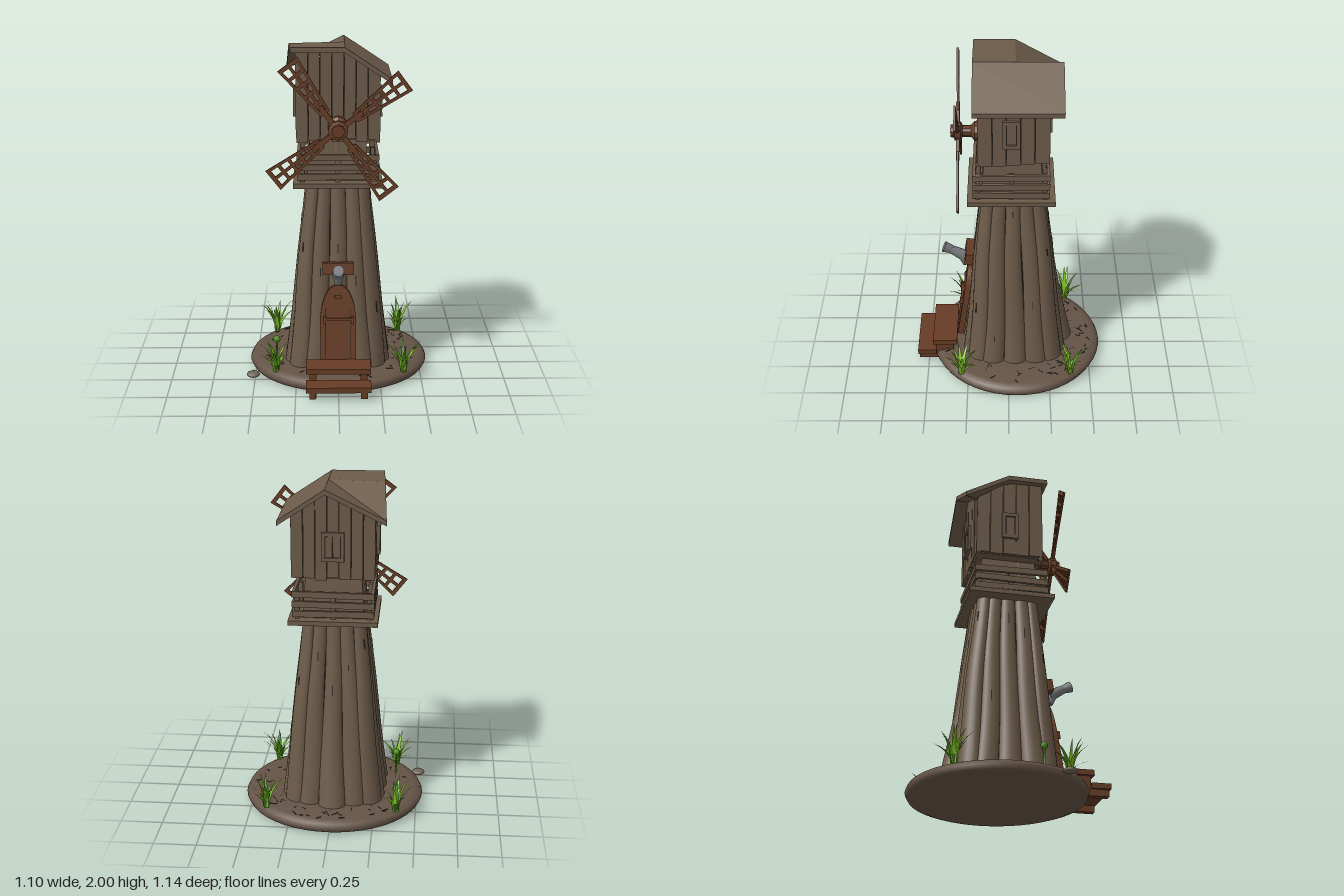
import * as THREE from 'three';

const mat = (name, color, side = THREE.FrontSide) => {
  const m = new THREE.MeshStandardMaterial({ color, side });
  m.name = name;
  return m;
};

export function createModel() {
  const root = new THREE.Group();
  root.name = 'windmill';
  const wood = mat('weathered wood', 0x6c5b49);
  const earth = mat('earth', 0x655447);
  const redWood = mat('red brown wood', 0x663c25);
  const dark = mat('dark gaps', 0x2c231b);
  const metal = mat('grey metal', 0x75787b);
  const stoneMat = mat('stone', 0x706559);
  const leaf = mat('leaf green', 0x82c427, THREE.DoubleSide);
  const darkLeaf = mat('dark leaf green', 0x4c8a1c, THREE.DoubleSide);

  let seed = 7;
  const rnd = (a = 0, b = 1) => {
    seed = (seed * 16807) % 2147483647;
    return a + (b - a) * (seed / 2147483647);
  };
  const group = (name, parent = root) => {
    const g = new THREE.Group();
    g.name = name;
    parent.add(g);
    return g;
  };
  const add = (parent, name, geo, m, x = 0, y = 0, z = 0) => {
    const mesh = new THREE.Mesh(geo, m);
    mesh.name = name;
    mesh.position.set(x, y, z);
    parent.add(mesh);
    return mesh;
  };
  const box = (parent, name, m, w, h, d, x, y, z) =>
    add(parent, name, new THREE.BoxGeometry(w, h, d), m, x, y, z);
  // Moves every vertex of a geometry by a rule
  const warp = (geo, rule) => {
    const p = geo.attributes.position, v = new THREE.Vector3();
    for (let i = 0; i < p.count; i++) {
      rule(v.fromBufferAttribute(p, i));
      p.setXYZ(i, v.x, v.y, v.z);
    }
    geo.computeVertexNormals();
    return geo;
  };

  // Round earth base with a soft rim
  const rim = [[0, 0.004], [0.5, 0.004], [0.53, 0.015], [0.543, 0.04], [0.53, 0.066], [0.49, 0.078], [0.35, 0.082], [0, 0.085]];
  const base = add(root, 'groundDisc', new THREE.LatheGeometry(rim.map(p => new THREE.Vector2(...p)), 48), earth, 0.005, 0, -0.048);
  base.scale.z = 0.965;
  const marks = group('groundCracks');
  for (let i = 0; i < 60; i++) {
    const a = rnd(0, 6.28), r = rnd(0.37, 0.49);
    const m = box(marks, 'groundCrack', dark, rnd(0.02, 0.045), 0.006, 0.004, r * Math.cos(a), 0.079, -0.048 + 0.95 * r * Math.sin(a));
    m.rotation.y = rnd(0, 3.14);
  }
  add(root, 'looseStone', new THREE.SphereGeometry(0.04, 12, 8), stoneMat, -0.51, 0.035, 0.24).scale.y = 0.45;

  // Tower of tapered logs: square plan at the top, rounder at the foot
  const widths = [[0.05, 0.322], [0.2, 0.3], [0.4, 0.275], [0.6, 0.255], [0.8, 0.234], [1, 0.209], [1.2, 0.186], [1.48, 0.16]];
  const radius = y => {
    let i = 1;
    while (i < widths.length - 1 && y > widths[i][0]) i++;
    const [a, b] = [widths[i - 1], widths[i]];
    return a[1] + (b[1] - a[1]) * (y - a[0]) / (b[0] - a[0]);
  };
  const centreZ = y => -0.038 + 0.012 * y;
  const square = (t, y) => {
    const p = 4 + 5 * y;
    return Math.pow(Math.abs(Math.cos(t)) ** p + Math.abs(Math.sin(t)) ** p, -1 / p);
  };
  const tower = group('tower');
  add(tower, 'towerCore', warp(new THREE.CylinderGeometry(1, 1, 1.42, 64, 10), v => {
    const y = v.y + 0.76, t = Math.atan2(v.z, v.x), r = Math.hypot(v.x, v.z) * 0.89 * square(t, y) * radius(y);
    v.set(r * Math.cos(t), y, r * Math.sin(t) + centreZ(y));
  }), dark);
  const addLog = (t, facing) => {
    const c = Math.cos(facing), s = Math.sin(facing), phase = rnd(0, 6), bulge = rnd(0.985, 1.015);
    // The middle back log flares into a root
    const flare = Math.sin(t) < -0.99 ? 0.045 : 0;
    const R = y => radius(y) * bulge + flare * Math.max(0, 1 - y / 0.6);
    const axis = y => {
      const r = 0.84 * R(y) * square(t, y);
      return [r * Math.cos(t), r * Math.sin(t) + centreZ(y)];
    };
    add(tower, 'towerLog', warp(new THREE.CylinderGeometry(1, 1, 1.42, 20, 12), v => {
      const y = v.y + 0.76, [ax, az] = axis(y);
      const u = v.x * R(y) * 0.16, w = v.z * R(y) * 0.225 + 0.004 * Math.sin(y * 6 + phase);
      v.set(ax + u * c - w * s, y, az + u * s + w * c);
    }), wood);
    // Short crack in the bark
    const y = rnd(0.25, 1.1), [ax, az] = axis(y), d = 0.16 * R(y) - 0.001;
    const crack = box(tower, 'barkCrack', dark, 0.005, rnd(0.03, 0.07), 0.005, ax + d * c, y, az + d * s);
    crack.rotation.set(-0.11 * s, 0, 0.11 * c);
  };
  for (let side = 0; side < 4; side++) {
    const a = side * Math.PI / 2;
    for (const k of [-0.5, 0, 0.5]) addLog(a + Math.atan(k), a);
    addLog(a + Math.PI / 4, a + Math.PI / 4);
  }

  // Squared neck between tower and house
  add(tower, 'neck', warp(new THREE.BoxGeometry(1, 0.26, 1), v => {
    const w = v.y > 0 ? 0.325 : 0.365;
    v.set(v.x * w, v.y, v.z * w);
  }), wood, 0, 1.335, -0.022);

  // Balcony with slatted railing
  const balcony = group('balcony');
  box(balcony, 'balconyFloor', wood, 0.52, 0.028, 0.51, 0, 1.204, -0.015);
  for (const y of [1.25, 1.305, 1.364]) {
    for (const sgn of [-1, 1]) {
      box(balcony, 'rail', wood, 0.475, 0.036, 0.018, 0, y, -0.015 + sgn * 0.213).rotation.z = rnd(-0.02, 0.02);
      box(balcony, 'rail', wood, 0.018, 0.036, 0.444, sgn * 0.228, y, -0.015).rotation.x = rnd(-0.02, 0.02);
    }
  }
  for (const px of [-1, 0, 1]) for (const pz of [-1, 0, 1])
    if (px || pz) box(balcony, 'railPost', wood, 0.028, 0.16, 0.028, px * 0.208, 1.295, -0.015 + pz * 0.193);

  // Mill house: planked walls whose tops follow the roof
  const house = group('millHouse');
  const ZC = -0.0275;
  box(house, 'houseCore', dark, 0.44, 0.35, 0.365, 0, 1.655, ZC);
  box(house, 'loftCore', dark, 0.34, 0.11, 0.18, -0.05, 1.855, 0.062);
  box(house, 'houseFloor', wood, 0.45, 0.02, 0.375, 0, 1.472, ZC);
  const wall = (name, length, count, top, x, z, rotY) => {
    const g = group(name, house), w = length / count;
    g.position.set(x, 0, z);
    g.rotation.y = rotY;
    for (let i = 0; i < count; i++) {
      const cx = -length / 2 + (i + 0.5) * w, y0 = 1.46 + rnd(-0.015, 0.012), d = rnd(-0.003, 0.003);
      add(g, 'plank', warp(new THREE.BoxGeometry(w - 0.003, 1, 0.025), v => {
        v.x += cx;
        v.z += d;
        v.y = v.y > 0 ? top(v.x) : y0;
      }), wood);
    }
    return g;
  };
  const rightSlope = x => 1.98 - Math.max(0, x - 0.04) * 0.7;
  wall('frontWall', 0.48, 7, rightSlope, 0, 0.165, 0);
  const backWall = wall('backWall', 0.48, 7, lx => rightSlope(-lx) - Math.max(0, 0.04 + lx) * 0.57, 0, -0.22, Math.PI);
  const leftWall = wall('leftWall', 0.4, 5, () => 1.83, 0.23, ZC, Math.PI / 2);
  const rightWall = wall('rightWall', 0.4, 5, lx => 1.965 - Math.max(0, -0.0125 - lx) * 0.67, -0.23, ZC, -Math.PI / 2);

  // Framed windows with one or two panes
  const addWindow = (parent, x, panes) => {
    const g = group('window', parent), w = panes === 2 ? 0.13 : 0.1, h = 0.17;
    g.position.set(x, 1.655, 0.02);
    box(g, 'windowGap', dark, w - 0.01, h - 0.01, 0.008, 0, 0, -0.004);
    for (const s of [-1, 1]) {
      box(g, 'frameSide', wood, 0.022, h, 0.02, s * (w / 2 - 0.011), 0, 0);
      box(g, 'frameBar', wood, w, 0.022, 0.022, 0, s * (h / 2 - 0.011), 0);
    }
    const pw = (w - 0.044) / panes;
    for (let i = 0; i < panes; i++) box(g, 'shutter', wood, pw - 0.006, h - 0.05, 0.012, (i - (panes - 1) / 2) * pw, 0, -0.001);
  };
  addWindow(leftWall, -0.012, 1);
  addWindow(rightWall, 0, 1);
  addWindow(backWall, 0, 2);

  // Roof slabs: main ridge with a crooked cross gable
  const roof = group('roof');
  const slab = (...pts) => {
    const low = pts.map(([x, y, z]) => [x, y - 0.03, z]), tris = [], n = pts.length;
    for (let i = 1; i < n - 1; i++) tris.push(pts[0], pts[i], pts[i + 1], low[0], low[i + 1], low[i]);
    for (let i = 0; i < n; i++) {
      const j = (i + 1) % n;
      tris.push(pts[i], low[i], low[j], pts[i], low[j], pts[j]);
    }
    const geo = new THREE.BufferGeometry();
    geo.setAttribute('position', new THREE.Float32BufferAttribute(tris.flat(), 3));
    geo.computeVertexNormals();
    add(roof, 'roofSlab', geo, wood);
  };
  const A = [0.04, 2, 0.203], B = [0.04, 2, -0.31], J = [0.04, 1.998, -0.04];
  const C = [-0.305, 1.83, -0.31], E = [-0.285, 1.99, -0.04], F = [-0.27, 2, 0.203];
  slab(A, [0.31, 1.82, 0.203], [0.31, 1.82, -0.31], B);
  slab(B, C, J);
  slab(C, E, J);
  slab(E, F, A, J);

  // Sails: lattice frames around a turned hub
  const sails = group('sails');
  sails.position.set(0, 1.545, 0);
  const hub = [[0, 0.15], [0.062, 0.17], [0.058, 0.195], [0.036, 0.215], [0.034, 0.265], [0.055, 0.275], [0.057, 0.31], [0.038, 0.315], [0.036, 0.335], [0, 0.336]];
  add(sails, 'hub', new THREE.LatheGeometry(hub.map(p => new THREE.Vector2(...p)), 10).rotateX(Math.PI / 2).toNonIndexed(), redWood).geometry.computeVertexNormals();
  const half = r => 0.03 + (r - 0.12) * 0.112;
  const path = (Type, pts) => new Type(pts.map(p => new THREE.Vector2(...p)));
  const sailShape = path(THREE.Shape, [[0.12, -half(0.12)], [0.472, -half(0.472)], [0.472, half(0.472)], [0.12, half(0.12)]]);
  for (let i = 0; i < 5; i++) {
    const r0 = 0.14 + i * 0.0655, r1 = r0 + 0.046;
    for (const s of [-1, 1]) {
      const hole = [[r0, s * 0.009], [r1, s * 0.009], [r1, s * (half(r1) - 0.017)], [r0, s * (half(r0) - 0.016)]];
      sailShape.holes.push(path(THREE.Path, hole));
    }
  }
  const sailGeo = new THREE.ExtrudeGeometry(sailShape, { depth: 0.012, bevelEnabled: false });
  for (const deg of [37, 127, 218, 308]) {
    const g = group('sail', sails);
    g.rotation.z = deg * Math.PI / 180;
    add(g, 'sailLattice', sailGeo, redWood, 0, 0, 0.286);
    box(g, 'sailArm', redWood, 0.16, 0.03, 0.02, 0.09, 0, 0.292);
  }

  // Arched door leaning with the wall
  const door = group('door');
  door.position.set(0, 0.15, 0.285);
  door.rotation.x = -0.15;
  const arch = new THREE.Shape();
  arch.moveTo(-0.105, 0);
  arch.lineTo(0.105, 0);
  arch.lineTo(0.107, 0.24);
  arch.bezierCurveTo(0.1, 0.37, 0.06, 0.455, 0, 0.455);
  arch.bezierCurveTo(-0.06, 0.455, -0.1, 0.37, -0.107, 0.24);
  add(door, 'doorLeaf', new THREE.ExtrudeGeometry(arch, { depth: 0.035, bevelEnabled: false, curveSegments: 10 }), redWood);
  for (const x of [-0.075, 0.075]) box(door, 'doorGroove', dark, 0.004, 0.3, 0.004, x, 0.16, 0.035);
  box(door, 'doorBrace', redWood, 0.17, 0.016, 0.02, 0, 0.25, 0.04);
  for (const x of [-0.08, 0.085]) box(door, 'braceEnd', redWood, 0.014, 0.045, 0.026, x, 0.245, 0.042);
  box(door, 'doorPlate', redWood, 0.04, 0.016, 0.016, 0, 0.385, 0.038);
  box(root, 'lintel', redWood, 0.185, 0.07, 0.05, 0, 0.705, 0.24).rotation.x = -0.15;

  // Lamp pipe over the door
  const lamp = group('doorLamp');
  const pipe = (name, a, b, r0, r1) => {
    const p = new THREE.Vector3(0, ...a), d = new THREE.Vector3(0, ...b).sub(p);
    const m = add(lamp, name, new THREE.CylinderGeometry(r1, r0, d.length(), 10), metal);
    m.position.copy(p).addScaledVector(d, 0.5);
    m.quaternion.setFromUnitVectors(new THREE.Vector3(0, 1, 0), d.normalize());
  };
  pipe('lampFoot', [0.62, 0.262], [0.69, 0.283], 0.022, 0.034);
  pipe('lampNeck', [0.67, 0.26], [0.722, 0.35], 0.037, 0.026);
  pipe('lampHead', [0.718, 0.34], [0.742, 0.395], 0.024, 0.034);

  // Two plank steps
  const steps = group('steps');
  box(steps, 'upperTread', redWood, 0.38, 0.032, 0.15, 0, 0.147, 0.397);
  box(steps, 'lowerTread', redWood, 0.38, 0.032, 0.115, 0, 0.072, 0.51);
  for (const x of [-0.15, 0.15]) {
    box(steps, 'upperSupport', redWood, 0.04, 0.11, 0.11, x, 0.08, 0.4);
    box(steps, 'lowerSupport', redWood, 0.04, 0.04, 0.13, x, 0.036, 0.495);
  }

  // Grass tufts of broad, curved, tapering blades
  for (const [x, z] of [[0.39, -0.375], [-0.385, -0.37], [-0.37, 0.28], [0.39, 0.29]]) {
    const tuft = group('grassTuft');
    tuft.position.set(x, 0.07, z);
    for (let i = 0; i < 16; i++) {
      const h = rnd(0.07, 0.21), reach = rnd(0.04, 0.115), w = rnd(0.02, 0.03);
      const blade = add(tuft, 'grassBlade', warp(new THREE.PlaneGeometry(1, 1, 1, 4), v => {
        const t = v.y + 0.5;
        v.set(v.x * w * (1.02 - t * t), h * t * (1.3 - 0.3 * t), 0.012 + reach * t * t);
      }), i % 4 ? leaf : darkLeaf);
      blade.rotation.y = i * 2.4 + rnd(-0.3, 0.3);
    }
  }
  // Small budding plant
  const plant = group('buddingPlant');
  plant.position.set(-0.37, 0.07, 0.135);
  add(plant, 'stem', new THREE.CylinderGeometry(0.005, 0.007, 0.14, 6), darkLeaf, 0, 0.07, 0);
  add(plant, 'bud', new THREE.SphereGeometry(0.022, 8, 6), darkLeaf, 0, 0.148, 0);
  return root;
}
